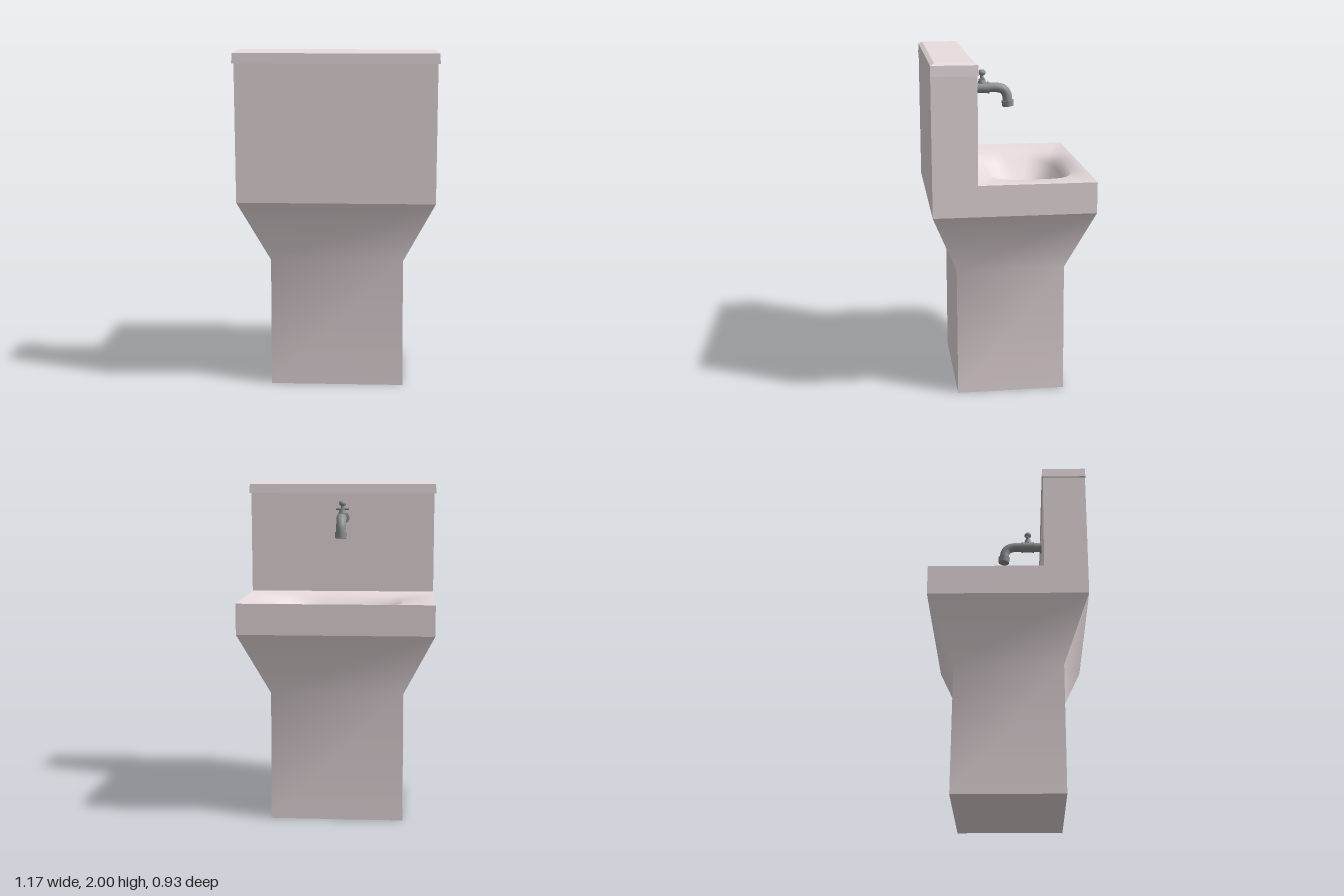
import * as THREE from 'three';
import { mergeGeometries } from 'three/addons/utils/BufferGeometryUtils.js';

const ceramic = new THREE.MeshStandardMaterial({ color: 0xeadde0 });
const metal = new THREE.MeshStandardMaterial({ color: 0x8f9494 });

function build(points, index) {
  const g = new THREE.BufferGeometry();
  g.setAttribute('position', new THREE.Float32BufferAttribute(points, 3));
  g.setIndex(index);
  return g;
}

// Four-sided loft through rectangles [y, x0, x1, z0, z1]; sharp vertical edges,
// sides smooth from ring to ring unless flat.
function boxLoft(rings, { flat = false, top = false, bottom = false } = {}) {
  const corners = ([y, x0, x1, z0, z1]) => [[x0, y, z1], [x1, y, z1], [x1, y, z0], [x0, y, z0]];
  const parts = [];
  const add = (points, index) => {
    let g = build(points.flat(), index);
    if (flat) g = g.toNonIndexed();
    g.computeVertexNormals();
    parts.push(flat ? g : g.toNonIndexed());
  };
  for (let s = 0; s < 4; s++) {
    const pts = [], idx = [];
    rings.forEach((r, i) => {
      const c = corners(r), a = i * 2;
      pts.push(c[s], c[(s + 1) % 4]);
      if (i < rings.length - 1) idx.push(a, a + 1, a + 3, a, a + 3, a + 2);
    });
    add(pts, idx);
  }
  if (top) add(corners(rings.at(-1)), [0, 1, 2, 0, 2, 3]);
  if (bottom) add(corners(rings[0]), [0, 2, 1, 0, 3, 2]);
  return mergeGeometries(parts);
}

// Loft inward and down through loops {y, a, b, z, n}; n is the superellipse power, 0 a rectangle.
const N = 64;
function loopLoft(loops) {
  const pts = [], idx = [];
  loops.forEach(({ y, a, b, z, n }, j) => {
    for (let i = 0; i < N; i++) {
      const t = (i / N) * Math.PI * 2, c = Math.cos(t), s = Math.sin(t);
      const m = Math.max(Math.abs(c), Math.abs(s));
      const f = (v) => (n ? Math.sign(v) * Math.abs(v) ** (2 / n) : v / m);
      pts.push(a * f(c), y, z + b * f(s));
      if (j < loops.length - 1) {
        const k = (i + 1) % N, o = j * N, q = o + N;
        idx.push(o + i, q + i, q + k, o + i, q + k, o + k);
      }
    }
  });
  const g = build(pts, idx);
  g.computeVertexNormals();
  return g;
}

export function createModel() {
  const model = new THREE.Group();
  const add = (parent, name, geometry, material, x = 0, y = 0, z = 0) => {
    const mesh = new THREE.Mesh(geometry, material);
    mesh.name = name;
    mesh.position.set(x, y, z);
    parent.add(mesh);
    return mesh;
  };

  // Pedestal flaring out to the basin
  add(model, 'pedestal', boxLoft([
    [0, -0.395, 0.395, -0.32, 0.32],
    [0.77, -0.39, 0.39, -0.315, 0.32],
    [1.14, -0.57, 0.57, -0.465, 0.465],
  ], { bottom: true }), ceramic);

  // Basin apron and the upright back
  const W = 0.57;
  add(model, 'basinSides', boxLoft([[1.14, -W, W, -0.465, 0.465], [1.32, -W, W, -0.465, 0.465]]), ceramic);
  add(model, 'backsplash', boxLoft([[1.32, -W, W, 0.21, 0.465], [1.95, -W, W, 0.21, 0.465]]), ceramic);

  // Cap with a shallow bevel on top
  add(model, 'cap', boxLoft([
    [1.93, -0.583, 0.583, 0.203, 0.467],
    [1.988, -0.578, 0.578, 0.206, 0.465],
    [2, -0.557, 0.557, 0.226, 0.442],
  ], { flat: true, top: true, bottom: true }), ceramic);

  // Deck dipping into the bowl, down to an open drain
  const z = -0.132;
  add(model, 'bowl', loopLoft([
    { y: 1.32, a: 0.57, b: 0.3375, z: -0.1275, n: 0 },
    { y: 1.303, a: 0.385, b: 0.257, z, n: 3.8 },
    { y: 1.25, a: 0.34, b: 0.222, z, n: 3.6 },
    { y: 1.18, a: 0.265, b: 0.165, z, n: 3.2 },
    { y: 1.12, a: 0.16, b: 0.095, z, n: 2.6 },
    { y: 1.09, a: 0.07, b: 0.044, z, n: 2.2 },
  ]), ceramic);
  add(model, 'drain', loopLoft([
    { y: 1.09, a: 0.07, b: 0.044, z, n: 2.2 },
    { y: 1.03, a: 0.062, b: 0.038, z, n: 2.2 },
  ]), ceramic);

  // Tap: curved spout, collars and a small turning handle
  const tap = new THREE.Group();
  tap.name = 'tap';
  tap.position.set(-0.006, 1.78, 0);
  model.add(tap);
  const path = new THREE.CatmullRomCurve3([
    [0, 0.212], [0, 0.12], [0, 0.03], [-0.012, -0.006], [-0.04, -0.026], [-0.1, -0.034],
  ].map(([y, pz]) => new THREE.Vector3(0, y, pz)));
  add(tap, 'spout', new THREE.TubeGeometry(path, 40, 0.029, 20), metal);
  const cyl = (r0, r1, h) => new THREE.CylinderGeometry(r0, r1, h, 24);
  const ring = (name, r, h, pz) => {
    add(tap, name, cyl(r, r, h), metal, 0, 0, pz).rotation.x = Math.PI / 2;
  };
  ring('wallFlange', 0.038, 0.012, 0.206);
  ring('valveBody', 0.032, 0.075, 0.12);
  ring('valveCollarFront', 0.036, 0.01, 0.084);
  ring('valveCollarBack', 0.036, 0.01, 0.156);
  add(tap, 'outletTip', cyl(0.037, 0.034, 0.035), metal, 0, -0.095, -0.033).rotation.x = 0.1;
  add(tap, 'handleBase', cyl(0.018, 0.026, 0.03), metal, 0, 0.04, 0.122);
  add(tap, 'handleStem', cyl(0.011, 0.011, 0.06), metal, 0, 0.07, 0.122);
  add(tap, 'handleBar', cyl(0.007, 0.007, 0.08), metal, 0, 0.058, 0.118).rotation.z = Math.PI / 2;
  const knob = [[0, -0.017], [0.012, -0.017], [0.022, -0.008], [0.022, 0.004], [0.014, 0.014], [0, 0.017]];
  add(tap, 'handleKnob', new THREE.LatheGeometry(knob.map(([r, y]) => new THREE.Vector2(r, y)), 20),
    metal, 0, 0.092, 0.122);
  return model;
}
